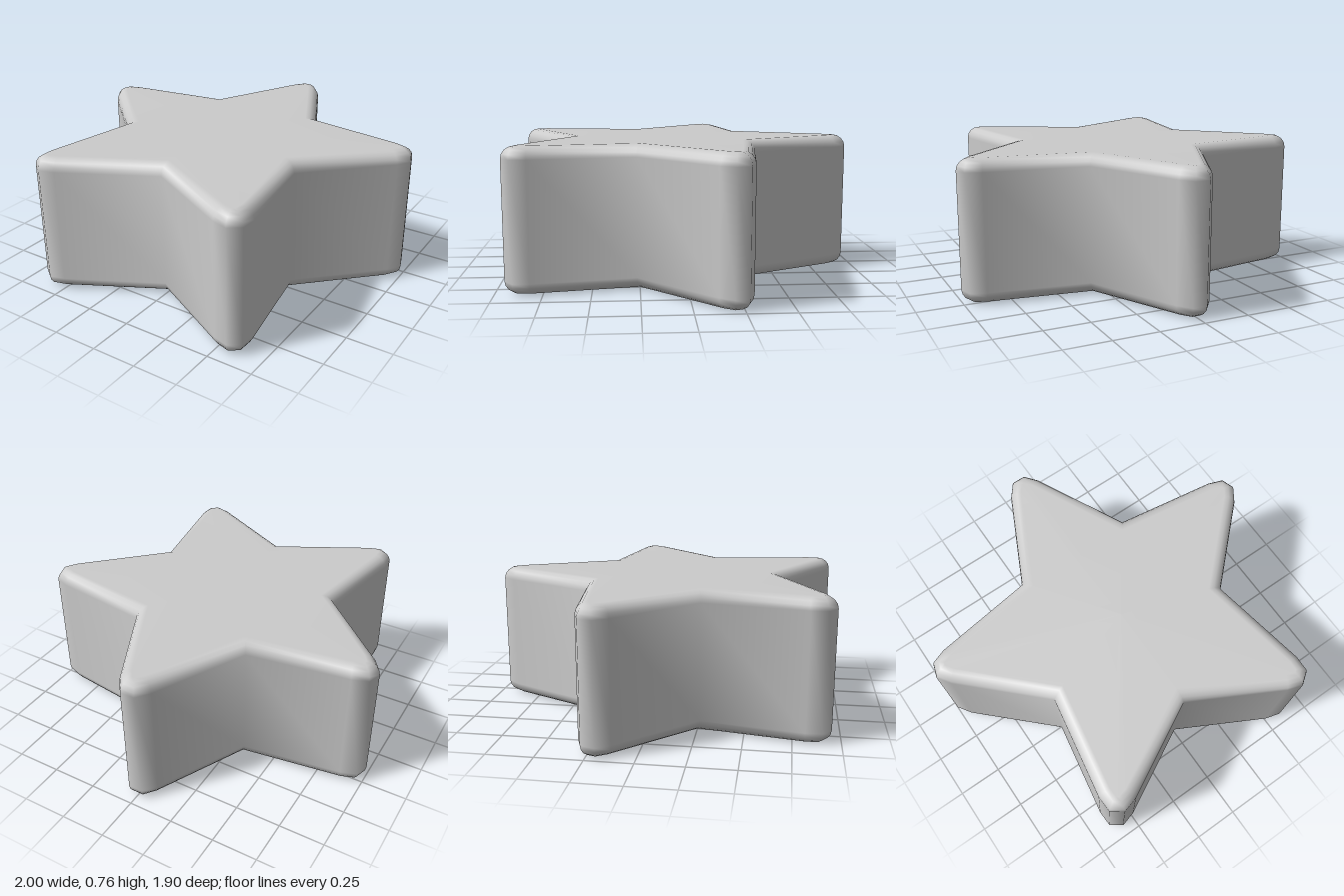
import * as THREE from 'three';

const HEIGHT = 0.765, BEVEL = 0.065, CENTRE_Z = 0.087, STEPS = 4;

// Half-arm points as [sideways, outward]; two blunt each tip, the last is the notch.
function starOutline() {
  const arm = [[-0.095, 0.967], [-0.04, 1.037], [0.04, 1.037], [0.095, 0.967], [0.34, 0.468]];
  const points = [];
  for (let i = 0; i < 5; i++) {
    const a = (i * Math.PI * 2) / 5;
    for (const [s, r] of arm) {
      points.push(new THREE.Vector2(
        r * Math.sin(a) + s * Math.cos(a),
        CENTRE_Z - r * Math.cos(a) + s * Math.sin(a)));
    }
  }
  return points;
}

// Moves every edge of the outline inwards by d, with mitred corners.
function inset(points, d) {
  const n = points.length;
  const normal = (p, q) => new THREE.Vector2(p.y - q.y, q.x - p.x).normalize();
  return points.map((p, i) => {
    const n1 = normal(points[(i + n - 1) % n], p);
    const n2 = normal(p, points[(i + 1) % n]);
    const k = d / (1 + n1.dot(n2));
    return p.clone().addScaledVector(n1.add(n2), k);
  });
}

function starGeometry() {
  const outline = starOutline(), n = outline.length;
  const positions = [], index = [];

  // Rounded lower edge, then rounded upper edge, as [inset, height]
  const profile = [];
  for (let i = 0; i <= STEPS; i++) {
    const a = (i / STEPS) * Math.PI / 2;
    profile.push([BEVEL * (1 - Math.sin(a)), BEVEL * (1 - Math.cos(a))]);
  }
  for (let i = STEPS; i >= 0; i--) profile.push([profile[i][0], HEIGHT - profile[i][1]]);

  for (const [d, y] of profile) {
    for (const p of inset(outline, d)) positions.push(p.x, y, p.y);
  }
  const bottom = positions.length / 3, top = bottom + 1;
  positions.push(0, 0, CENTRE_Z, 0, HEIGHT, CENTRE_Z);

  const last = (profile.length - 1) * n;
  for (let j = 0; j < n; j++) {
    const k = (j + 1) % n;
    for (let row = 0; row < last; row += n) {
      index.push(row + j, row + n + j, row + n + k, row + j, row + n + k, row + k);
    }
    index.push(bottom, j, k, top, last + k, last + j);
  }

  const geometry = new THREE.BufferGeometry();
  geometry.setAttribute('position', new THREE.Float32BufferAttribute(positions, 3));
  geometry.setIndex(index);
  geometry.computeVertexNormals();
  return geometry;
}

export function createModel() {
  const group = new THREE.Group();
  group.name = 'star';
  const body = new THREE.Mesh(starGeometry(), new THREE.MeshStandardMaterial({ color: 0xcccccc }));
  body.name = 'starBody';
  group.add(body);
  return group;
}
